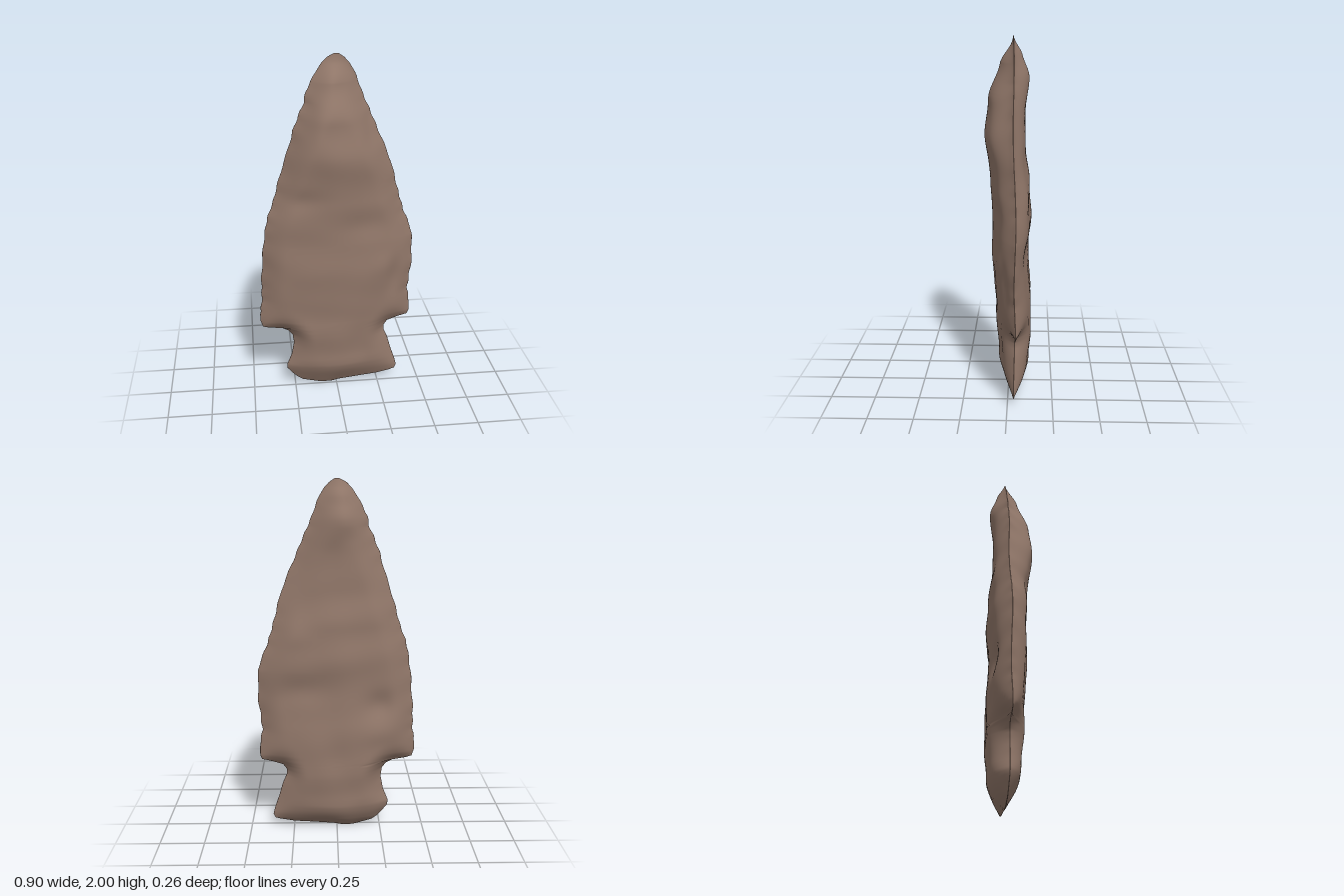
import * as THREE from 'three';

// Outline half-contours as [y, x], from base to tip
const LEFT = [[0, -0.09], [0.01, -0.13], [0.02, -0.17], [0.03, -0.205], [0.05, -0.235], [0.08, -0.265], [0.12, -0.297],
  [0.15, -0.298], [0.22, -0.27], [0.3, -0.255], [0.35, -0.262], [0.38, -0.285], [0.4, -0.325], [0.41, -0.4],
  [0.42, -0.435], [0.46, -0.448], [0.5, -0.449], [0.6, -0.435], [0.7, -0.435], [0.8, -0.428], [0.9, -0.42],
  [1, -0.408], [1.1, -0.39], [1.2, -0.352], [1.3, -0.325], [1.4, -0.296], [1.5, -0.262], [1.6, -0.235],
  [1.7, -0.196], [1.75, -0.172], [1.8, -0.165], [1.85, -0.14], [1.9, -0.112], [1.95, -0.08], [1.98, -0.05], [2, -0.012]];
const RIGHT = [[0, -0.03], [0.01, 0.02], [0.02, 0.13], [0.03, 0.25], [0.045, 0.33], [0.055, 0.362], [0.08, 0.372],
  [0.12, 0.362], [0.2, 0.335], [0.28, 0.312], [0.33, 0.29], [0.36, 0.29], [0.39, 0.31], [0.41, 0.37],
  [0.425, 0.43], [0.45, 0.441], [0.52, 0.44], [0.6, 0.425], [0.7, 0.435], [0.8, 0.447], [0.95, 0.44],
  [1, 0.43], [1.1, 0.388], [1.2, 0.358], [1.3, 0.332], [1.4, 0.306], [1.5, 0.265], [1.6, 0.222],
  [1.7, 0.18], [1.8, 0.136], [1.85, 0.12], [1.9, 0.1], [1.95, 0.07], [1.98, 0.042], [2, 0.012]];

// Height of the front and back faces along the spine as [y, z]
const FRONT = [[0, 0.02], [0.2, 0.055], [0.45, 0.078], [0.7, 0.09], [0.95, 0.087], [1.2, 0.108], [1.45, 0.132],
  [1.65, 0.108], [1.85, 0.066], [2, -0.01]];
const BACK = [[0, -0.1], [0.2, -0.122], [0.35, -0.128], [0.6, -0.122], [0.8, -0.114], [1, -0.127], [1.2, -0.11],
  [1.4, -0.095], [1.6, -0.1], [1.78, -0.117], [1.9, -0.085], [2, -0.04]];
// Half-width of the lens section as [y, x]
const LENS = [[0, 0.42], [0.85, 0.46], [1.05, 0.42], [1.4, 0.31], [1.7, 0.2], [1.85, 0.14], [2, 0.06]];

// Flake scars and ridges: [x, y, width, height, depth]
const FRONT_SCARS = [[0.34, 0.7, 0.045, 0.11, -0.026], [0.27, 0.8, 0.07, 0.07, 0.008], [0.19, 1.62, 0.035, 0.09, -0.018],
  [-0.22, 1.22, 0.13, 0.06, -0.01], [0.14, 1.05, 0.16, 0.07, -0.008], [-0.2, 0.75, 0.14, 0.08, 0.006],
  [-0.1, 1.6, 0.05, 0.12, 0.008], [0.02, 1.85, 0.05, 0.06, -0.008], [0.12, 0.3, 0.08, 0.12, -0.008]];
const BACK_SCARS = [[0.2, 0.85, 0.12, 0.07, -0.008], [-0.24, 0.75, 0.08, 0.08, -0.02], [-0.25, 0.58, 0.1, 0.06, 0.006],
  [0.25, 0.6, 0.1, 0.08, 0.006], [0.22, 1.15, 0.1, 0.07, 0.008], [-0.08, 1.7, 0.06, 0.06, -0.01],
  [0, 0.45, 0.07, 0.12, -0.008]];

function sample(table, y, smooth) {
  let i = 0;
  while (i < table.length - 2 && table[i + 1][0] < y) i++;
  const [y0, v0] = table[i], [y1, v1] = table[i + 1];
  let t = THREE.MathUtils.clamp((y - y0) / (y1 - y0), 0, 1);
  if (smooth) t = t * t * (3 - 2 * t);
  return v0 + (v1 - v0) * t;
}

// Small knapping nicks along the blade edges
const nick = (y, phase) => (y > 0.5 && y < 1.9 ? 0.003 * Math.sin(y * 55 + phase + 2 * Math.sin(y * 11)) : 0);
const leftX = (y) => sample(LEFT, y) + nick(y, 0);
const rightX = (y) => sample(RIGHT, y) + nick(y, 2);

// Evenly spaced points along the closed outline
function resample(loop, step) {
  const points = [];
  loop.forEach(([ax, ay], i) => {
    const [bx, by] = loop[(i + 1) % loop.length];
    const length = Math.hypot(bx - ax, by - ay), count = Math.max(1, Math.round(length / step));
    for (let k = 0; k < count; k++) {
      const t = (k + 0.5) / count;
      points.push([ax + (bx - ax) * t, ay + (by - ay) * t, length / count]);
    }
  });
  return points;
}

// Distance to the outline, blended smoothly around corners
function softDistance(x, y, outline) {
  let sum = 0;
  for (const [px, py, length] of outline) {
    const square = (x - px) ** 2 + (y - py) ** 2;
    sum += length / (square * Math.sqrt(square));
  }
  return Math.sqrt(2 / sum);
}

function scarDepth(scars, x, y) {
  return scars.reduce((sum, [cx, cy, w, h, d]) =>
    sum + d * Math.exp(-(((x - cx) / w) ** 2) - ((y - cy) / h) ** 2), 0);
}

function buildPoint() {
  // Rows at regular heights plus every outline height
  const heights = new Set([...LEFT, ...RIGHT].map((p) => p[0]));
  for (let i = 0; i <= 100; i++) heights.add(+(i * 0.02).toFixed(3));
  const rows = [...heights].sort((a, b) => a - b);
  const outline = resample([...rows.map((y) => [rightX(y), y]), ...rows.map((y) => [leftX(y), y]).reverse()], 0.004);

  const columns = 44, ring = columns * 2;
  const positions = [], index = [];
  for (const y of rows) {
    const x0 = leftX(y), x1 = rightX(y);
    const lensWidth = sample(LENS, y);
    const frontSpine = sample(FRONT, y, true), backSpine = sample(BACK, y, true);
    for (let j = 0; j < ring; j++) {
      const front = j < columns;
      const s = (front ? j : ring - j) / columns;
      const x = x0 + (x1 - x0) * (0.5 - 0.5 * Math.cos(Math.PI * s));
      const middle = -0.02 - 0.055 * x + 0.005 * Math.sin(y * 9 + x * 3);
      // Shallow lens across the blade with a rounded bevel at the edge
      const u = s === 0 || s === 1 ? 0 : Math.min(1, softDistance(x, y, outline) / 0.13);
      const lens = 1 - 0.6 * Math.min(1, Math.abs((x + 0.03) / lensWidth)) ** 1.6;
      const rise = lens * (1 - (1 - u) ** 2);
      const spine = (front ? frontSpine : backSpine) + 0.02;
      const scar = scarDepth(front ? FRONT_SCARS : BACK_SCARS, x, y)
        + 0.003 * Math.sin(x * 15 + y * 11) * Math.sin(y * 17 - x * 9);
      positions.push(x, y, middle + spine * rise + (front ? scar : -scar) * u);
    }
  }
  for (let i = 0; i < rows.length - 1; i++) {
    for (let j = 0; j < ring; j++) {
      const a = i * ring + j, b = i * ring + ((j + 1) % ring);
      index.push(a, b, b + ring, a, b + ring, a + ring);
    }
  }
  // Narrow caps closing the base and the tip
  const last = (rows.length - 1) * ring;
  for (let j = 1; j < ring - 1; j++) {
    index.push(0, j + 1, j);
    index.push(last, last + j, last + j + 1);
  }
  const geometry = new THREE.BufferGeometry();
  geometry.setAttribute('position', new THREE.Float32BufferAttribute(positions, 3));
  geometry.setIndex(index);
  geometry.computeVertexNormals();
  return geometry;
}

export function createModel() {
  const group = new THREE.Group();
  group.name = 'arrowhead';
  const stone = new THREE.MeshStandardMaterial({ color: 0x92786a });
  stone.name = 'brown stone';
  const point = new THREE.Mesh(buildPoint(), stone);
  point.name = 'knappedStonePoint';
  group.add(point);
  return group;
}
